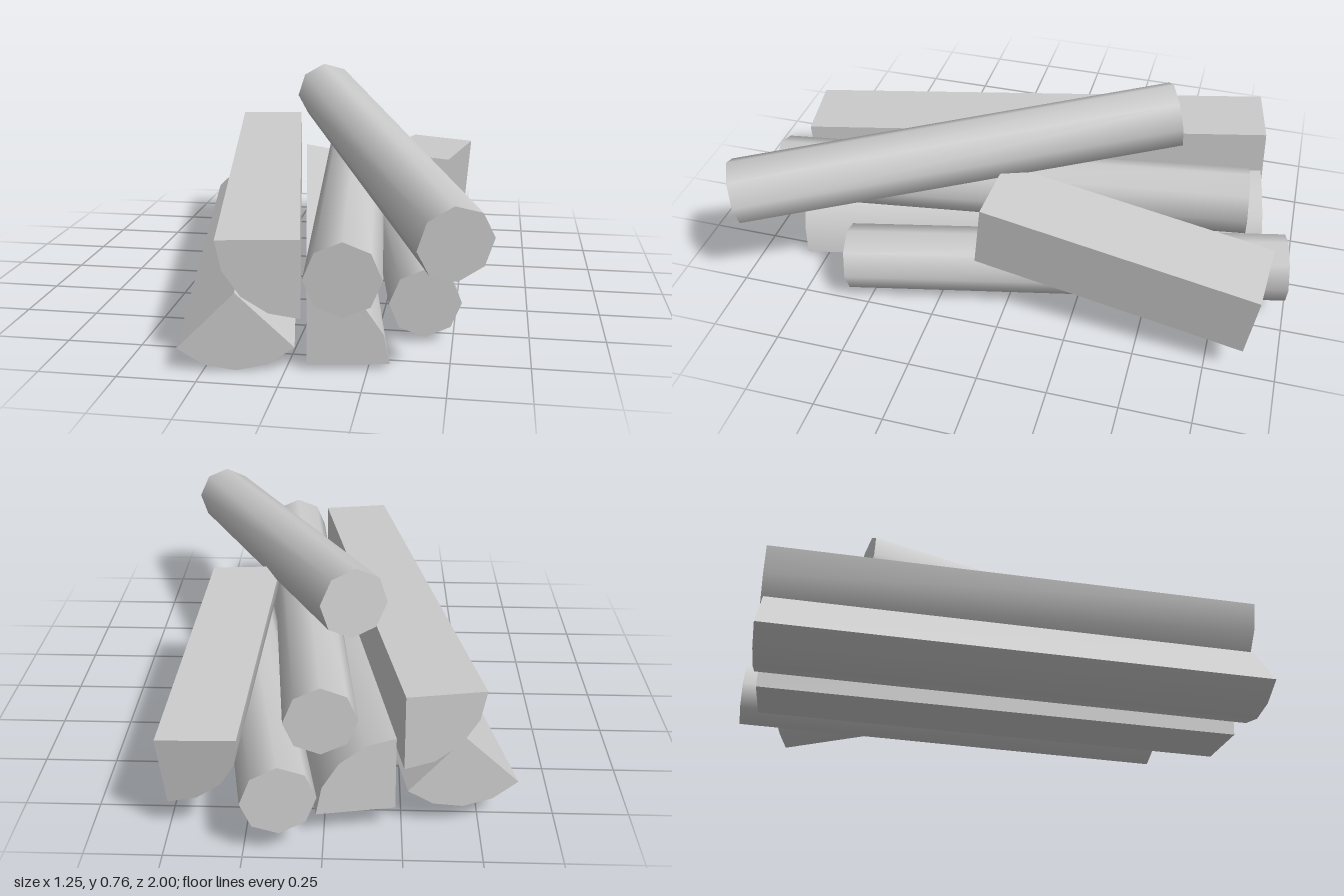
import * as THREE from 'three';
import { toCreasedNormals } from 'three/addons/utils/BufferGeometryUtils.js';

const DEG = Math.PI / 180;
const material = new THREE.MeshStandardMaterial({ color: 0xcccccc });

// Whole log: octagonal section centred on its axis
function roundSection(roll, radius = 0.119) {
  return Array.from({ length: 8 }, (_, i) => {
    const a = (roll + i * 45) * DEG;
    return new THREE.Vector2(radius * Math.cos(a), radius * Math.sin(a));
  });
}

// Split log: quarter section with its heart edge at the origin, bark arc from the start angle
function quarterSection(start, radius = 0.256) {
  const points = [new THREE.Vector2(0, 0)];
  for (let i = 0; i <= 4; i++) {
    const a = (start + i * 22.5) * DEG;
    points.push(new THREE.Vector2(radius * Math.cos(a), radius * Math.sin(a)));
  }
  return points;
}

// Sweep a section straight from the back end to the front end, bark smooth and edges sharp
function log(name, section, back, front) {
  const from = new THREE.Vector3(...back);
  const to = new THREE.Vector3(...front);
  const geometry = new THREE.ExtrudeGeometry(new THREE.Shape(section), {
    depth: from.distanceTo(to), bevelEnabled: false, steps: 1,
  });
  const mesh = new THREE.Mesh(toCreasedNormals(geometry, 0.9), material);
  mesh.name = name;
  mesh.position.copy(from);
  mesh.lookAt(to);
  return mesh;
}

export function createModel() {
  const pile = new THREE.Group();
  pile.name = 'firewoodPile';
  pile.add(
    // Round logs
    log('topRoundLog', roundSection(6), [-0.087, 0.648, -0.513], [0.514, 0.457, 0.953]),
    log('middleRoundLog', roundSection(0), [0.012, 0.385, -0.81], [0.184, 0.324, 0.93]),
    log('lowerRoundLog', roundSection(0), [0.135, 0.207, -0.98], [0.41, 0.14, 0.59]),
    // Split logs
    log('lowerRightSplitLog', quarterSection(225), [-0.444, 0.333, -0.805], [-0.148, 0.26, 0.91]),
    log('upperRightSplitLog', quarterSection(180), [-0.251, 0.497, -0.84], [0.049, 0.427, 0.878]),
    log('lowerMiddleSplitLog', quarterSection(0), [-0.228, 0.092, -0.85], [0.065, 0.022, 0.865]),
    log('upperLeftSplitLog', quarterSection(176), [0.516, 0.372, -0.91], [0.452, 0.502, 0.065]),
  );
  return pile;
}
